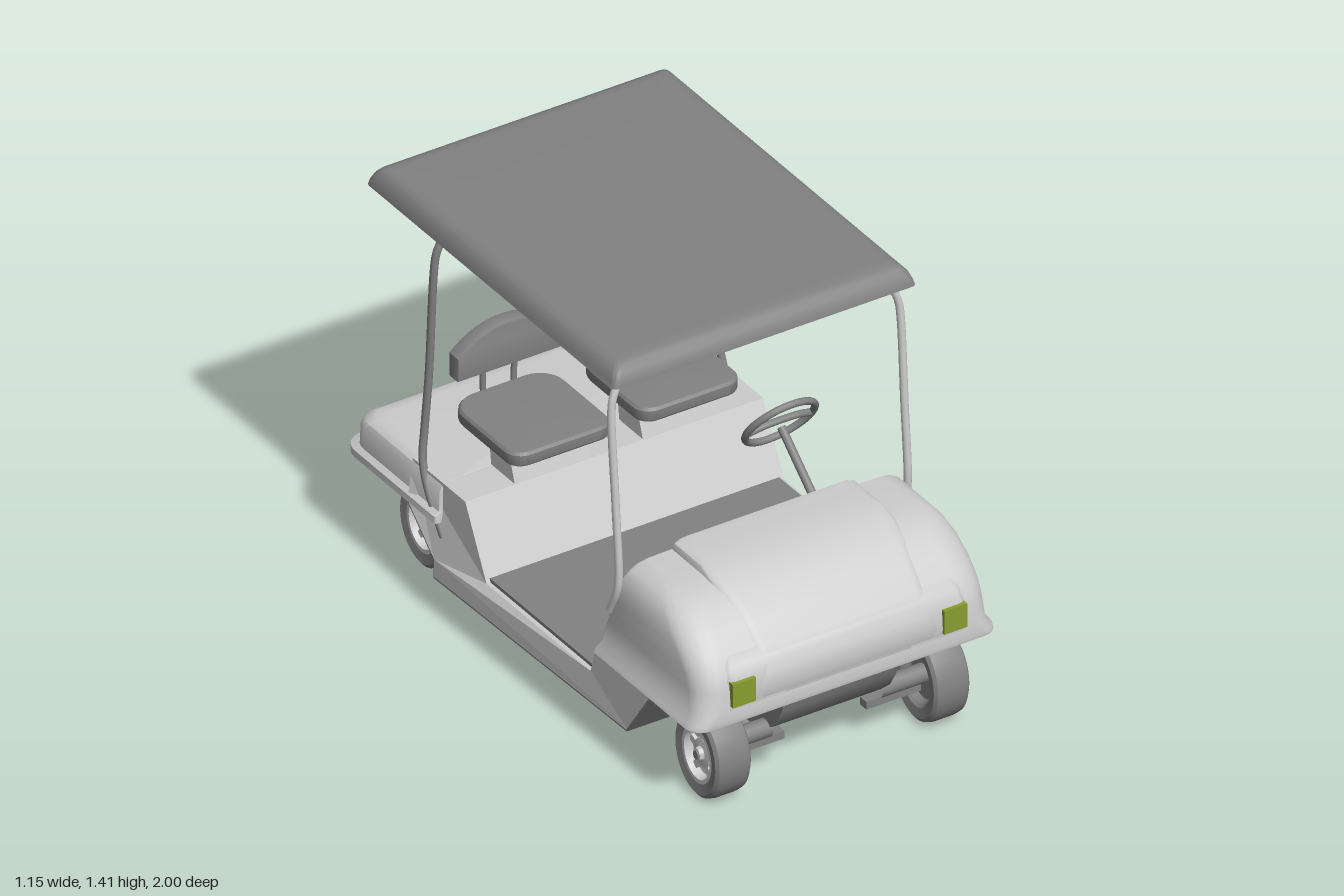
import * as THREE from 'three';
import { toCreasedNormals } from 'three/addons/utils/BufferGeometryUtils.js';

const light = new THREE.MeshStandardMaterial({ color: 0xdedede, side: THREE.DoubleSide });
const rimMat = new THREE.MeshStandardMaterial({ color: 0xcccccc, side: THREE.DoubleSide });
const dark = new THREE.MeshStandardMaterial({ color: 0x828282, side: THREE.DoubleSide });
const lampMat = new THREE.MeshStandardMaterial({ color: 0x8a9c30 });
const V = (x, y, z) => new THREE.Vector3(x, y, z);

function add(parent, name, geo, mat = light) {
  const m = new THREE.Mesh(geo, mat);
  m.name = name;
  parent.add(m);
  return m;
}

// Stack of rounded rectangles; ring = [y, halfWidth, zBack, zFront, rBack, rFront]
function loft(rings, crease = 0.6) {
  const seg = 6, n = 4 * (seg + 1), pos = [], idx = [];
  for (const [y, w, z0, z1, rb, rf] of rings) {
    for (let k = 0; k < 4; k++) {
      const r = k < 2 ? rf : rb;
      const cx = (k === 0 || k === 3 ? 1 : -1) * (w - r);
      const cz = k < 2 ? z1 - r : z0 + r;
      for (let i = 0; i <= seg; i++) {
        const a = (k + i / seg) * Math.PI / 2;
        pos.push(cx + r * Math.cos(a), y, cz + r * Math.sin(a));
      }
    }
  }
  const last = (rings.length - 1) * n, c = rings.length * n;
  for (const q of [rings[0], rings[rings.length - 1]]) pos.push(0, q[0], (q[2] + q[3]) / 2);
  for (let i = 0; i < n; i++) {
    const j = (i + 1) % n;
    for (let b = 0; b < last; b += n) idx.push(b + i, b + n + i, b + j, b + j, b + n + i, b + n + j);
    idx.push(c, i, j, c + 1, last + j, last + i);
  }
  const g = new THREE.BufferGeometry();
  g.setAttribute('position', new THREE.Float32BufferAttribute(pos, 3));
  g.setIndex(idx);
  return toCreasedNormals(g, crease);
}

// Side profile of [z, y] points, extruded across x and centred
function across(pts, width) {
  const shape = new THREE.Shape(pts.map(p => new THREE.Vector2(p[0], p[1])));
  const g = new THREE.ExtrudeGeometry(shape, { depth: width, bevelEnabled: false });
  return g.translate(0, 0, -width / 2).rotateY(-Math.PI / 2);
}

// Flare the rear arch edges out to the deck's width
function flareRear(g) {
  const p = g.attributes.position;
  for (let i = 0; i < p.count; i++)
    if (p.getZ(i) < -0.4 && p.getY(i) < 0.34) p.setX(i, Math.sign(p.getX(i)) * 0.575);
  g.computeVertexNormals();
  return g;
}

function tube(pts, r, seg = 60) {
  return new THREE.TubeGeometry(new THREE.CatmullRomCurve3(pts, false, 'centripetal'), seg, r, 10);
}

function rod(a, b, r) {
  return new THREE.TubeGeometry(new THREE.LineCurve3(a, b), 1, r, 14);
}

// Hoop from one side's points, [x, y, z] bottom to top, mirrored over x
function hoop(half, r = 0.013) {
  return tube([...half.map(p => V(...p)), ...half.slice().reverse().map(p => V(-p[0], p[1], p[2]))], r, 120);
}

function makeWheel() {
  const g = new THREE.Group();
  const lathe = pts => toCreasedNormals(new THREE.LatheGeometry(
    pts.map(p => new THREE.Vector2(p[0], p[1])), 36).rotateZ(-Math.PI / 2), 0.6);
  add(g, 'tyre', lathe([[0.09, -0.05], [0.1, -0.06], [0.135, -0.065], [0.148, -0.056], [0.153, -0.035],
    [0.153, 0.035], [0.148, 0.056], [0.135, 0.065], [0.1, 0.06], [0.09, 0.05]]), dark);
  add(g, 'rimBack', lathe([[0.095, -0.052], [0.08, -0.03], [0.0, -0.03]]), dark);
  add(g, 'rimFace', lathe([[0.1, 0.06], [0.086, 0.06], [0.08, 0.03], [0.055, 0.028], [0.05, 0.042],
    [0.025, 0.045], [0.022, 0.06], [0, 0.062]]), rimMat);
  for (let i = 0; i < 5; i++) {
    const a = i * Math.PI * 0.4;
    const s = add(g, 'rimSpoke', new THREE.BoxGeometry(0.015, 0.04, 0.025), rimMat);
    s.position.set(0.034, 0.065 * Math.cos(a), 0.065 * Math.sin(a));
    s.rotation.x = a;
  }
  add(g, 'hubCap', new THREE.CylinderGeometry(0.016, 0.016, 0.006, 16).rotateZ(Math.PI / 2), dark).position.x = 0.062;
  g.scale.z = 0.84;
  return g;
}

function makeSeat() {
  const g = new THREE.Group();
  add(g, 'cushion', loft([[0.573, 0.182, -0.65, -0.275, 0.08, 0.05], [0.58, 0.187, -0.655, -0.27, 0.09, 0.06],
    [0.612, 0.187, -0.655, -0.27, 0.09, 0.06], [0.621, 0.18, -0.648, -0.277, 0.085, 0.055],
    [0.622, 0.165, -0.635, -0.29, 0.08, 0.05]]), dark);
  add(g, 'pedestal', across([[-0.34, 0.46], [-0.365, 0.535], [-0.485, 0.535], [-0.475, 0.46]], 0.28));
  add(g, 'seatPost', new THREE.BoxGeometry(0.1, 0.05, 0.05), dark).position.set(0, 0.555, -0.43);
  // Backrest with an arched top
  const s = new THREE.Shape();
  s.moveTo(-0.182, 0.73);
  s.lineTo(0.182, 0.73);
  s.lineTo(0.182, 0.805);
  s.quadraticCurveTo(0.1, 0.88, 0, 0.88);
  s.quadraticCurveTo(-0.1, 0.88, -0.182, 0.805);
  s.closePath();
  const back = new THREE.ExtrudeGeometry(s, { depth: 0.042, bevelSize: 0.006, bevelThickness: 0.006, bevelSegments: 2, curveSegments: 16 });
  add(g, 'backrest', toCreasedNormals(back.translate(0, 0, -0.636), 0.6), dark);
  add(g, 'backrestSupport', hoop([[0.055, 0.575, -0.5], [0.055, 0.575, -0.63], [0.055, 0.59, -0.648],
    [0.055, 0.77, -0.648], [0.04, 0.8, -0.648], [0.015, 0.815, -0.648]], 0.01), dark);
  return g;
}

export function createModel() {
  const car = new THREE.Group();
  car.name = 'golfCart';

  // Roof: shallow hollow tray
  add(car, 'roof', loft([[1.385, 0.5, -0.84, 0.47, 0.02, 0.02], [1.345, 0.535, -0.87, 0.5, 0.02, 0.02],
    [1.343, 0.555, -0.89, 0.52, 0.02, 0.02], [1.36, 0.55, -0.887, 0.517, 0.02, 0.02], [1.385, 0.54, -0.875, 0.505, 0.02, 0.02],
    [1.402, 0.525, -0.86, 0.49, 0.02, 0.02], [1.41, 0.505, -0.84, 0.47, 0.02, 0.02], [1.411, 0.48, -0.815, 0.445, 0.02, 0.02]]), dark);

  // Roof hoops
  add(car, 'frontHoop', hoop([[0.53, 0.5, 0.455], [0.53, 0.59, 0.497], [0.529, 0.65, 0.505], [0.529, 0.9, 0.487],
    [0.529, 1.22, 0.463], [0.522, 1.27, 0.46], [0.5, 1.315, 0.457], [0.46, 1.343, 0.455], [0.4, 1.348, 0.455]]));
  add(car, 'rearHoop', hoop([[0.55, 0.28, -0.455], [0.55, 0.42, -0.55], [0.546, 0.5, -0.58], [0.535, 0.6, -0.587], [0.529, 0.8, -0.572],
    [0.529, 1.22, -0.54], [0.522, 1.27, -0.537], [0.5, 1.315, -0.533], [0.46, 1.343, -0.53], [0.4, 1.348, -0.53]]), dark);

  // Lower tub: sills, floor step and seat base
  add(car, 'tub', flareRear(across([[0.58, 0.135], [0.72, 0.335], [0.4, 0.335], [0.37, 0.235], [-0.22, 0.235],
    [-0.34, 0.47], [-0.64, 0.47], [-0.62, 0.335], [-0.47, 0.2], [-0.47, 0.135]], 1.09)));
  // Thin pan under the tub, turning up into the wheel arches
  add(car, 'underPan', flareRear(across([[0.58, 0.136], [0.72, 0.335], [0.73, 0.335], [0.583, 0.13], [-0.475, 0.13],
    [-0.475, 0.198], [-0.628, 0.335], [-0.62, 0.335], [-0.47, 0.2], [-0.47, 0.136]], 1.1)), dark);
  add(car, 'floorMat', new THREE.BoxGeometry(1.06, 0.015, 0.6), dark).position.set(0, 0.24, 0.075);
  add(car, 'belly', toCreasedNormals(across([[0.95, 0.332], [0.935, 0.27], [0.9, 0.21], [0.85, 0.165], [0.78, 0.14], [-0.78, 0.14],
    [-0.84, 0.165], [-0.885, 0.21], [-0.91, 0.27], [-0.92, 0.332], [-0.6, 0.332], [-0.45, 0.2], [0.55, 0.2], [0.68, 0.332]], 0.42), 0.6), dark);

  // Rear deck with lower lip
  add(car, 'rearDeck', loft([[0.33, 0.575, -1, -0.465, 0.08, 0.01], [0.355, 0.575, -1, -0.465, 0.08, 0.01],
    [0.368, 0.558, -0.968, -0.465, 0.07, 0.01], [0.435, 0.556, -0.966, -0.465, 0.07, 0.01], [0.458, 0.546, -0.955, -0.465, 0.07, 0.01],
    [0.47, 0.52, -0.93, -0.465, 0.06, 0.01], [0.471, 0.49, -0.9, -0.465, 0.05, 0.01]], 0.7));
  add(car, 'rearUnderside', loft([[0.327, 0.56, -0.985, -0.62, 0.075, 0.01], [0.331, 0.56, -0.985, -0.62, 0.075, 0.01]]), dark);

  // Front cowl: [y, half width, front z, corner radius]
  const cowl = [[0.33, 0.56, 0.985, 0.06], [0.345, 0.555, 0.988, 0.06], [0.375, 0.535, 0.985, 0.07], [0.45, 0.53, 0.98, 0.08],
    [0.5, 0.53, 0.965, 0.09], [0.55, 0.528, 0.93, 0.1], [0.6, 0.522, 0.88, 0.11], [0.635, 0.51, 0.835, 0.11],
    [0.66, 0.49, 0.79, 0.1], [0.675, 0.465, 0.745, 0.09], [0.682, 0.43, 0.69, 0.08], [0.683, 0.38, 0.64, 0.05]];
  add(car, 'frontCowl', loft(cowl.map(([y, w, z, r]) => [y, w, 0.4 + (y - 0.33) * 0.31, z, 0.01, r]), 0.8));
  add(car, 'frontUnderside', loft([[0.327, 0.545, 0.72, 0.97, 0.01, 0.05], [0.331, 0.545, 0.72, 0.97, 0.01, 0.05]]), dark);

  // Raised bonnet, and the wider nose holding the lamps
  const raised = rings => loft(rings.map(([y, w, z, r]) => [y, w, 0.44 + (y - 0.37) * 0.2, z, 0.01, r]), 0.8);
  add(car, 'bonnet', raised([[0.37, 0.34, 0.98, 0.03], [0.42, 0.34, 0.997, 0.04], [0.48, 0.33, 0.988, 0.05], [0.54, 0.325, 0.95, 0.05],
    [0.6, 0.328, 0.89, 0.05], [0.65, 0.335, 0.825, 0.05], [0.685, 0.337, 0.76, 0.05], [0.703, 0.33, 0.7, 0.04],
    [0.711, 0.31, 0.63, 0.03], [0.712, 0.28, 0.58, 0.03]]));
  add(car, 'nose', raised([[0.38, 0.44, 0.985, 0.03], [0.41, 0.442, 0.99, 0.03], [0.48, 0.438, 0.985, 0.03],
    [0.52, 0.432, 0.965, 0.03], [0.545, 0.42, 0.938, 0.03]]));

  // Firewall, lying along the sloping rear of the cowl
  const wall = new THREE.Group();
  wall.name = 'firewall';
  wall.position.set(0, 0.44, 0.432);
  wall.rotation.x = 0.3;
  car.add(wall);
  add(wall, 'firewallPanel', new THREE.BoxGeometry(0.98, 0.4, 0.01), dark);
  const plate = new THREE.Shape([[-0.07, -0.09], [0.07, -0.09], [0.07, 0.09], [-0.07, 0.09]].map(q => new THREE.Vector2(...q)));
  const hole = new THREE.Path();
  hole.moveTo(-0.045, -0.06);
  hole.lineTo(0.045, -0.06);
  hole.absarc(0, 0, 0.045, 0, Math.PI, false);
  plate.holes.push(hole);
  const plateGeo = new THREE.ExtrudeGeometry(plate, { depth: 0.01, bevelEnabled: false });

  const wheelZ = [['front', 0.84], ['rear', -0.72]];
  for (const s of [1, -1]) {
    const side = s > 0 ? 'Left' : 'Right';
    add(wall, 'pocket' + side, plateGeo).position.set(s * 0.3, 0.07, -0.013);

    const lamp = add(car, 'headlight' + side, new THREE.BoxGeometry(0.085, 0.085, 0.03), lampMat);
    lamp.position.set(s * 0.387, 0.438, 0.983);
    add(car, 'lampSill' + side, new THREE.BoxGeometry(0.2, 0.006, 0.04)).position.set(s * 0.33, 0.385, 0.967);

    const seat = makeSeat();
    seat.name = 'seat' + side;
    seat.position.x = s > 0 ? 0.247 : -0.222;
    car.add(seat);

    for (const [end, z] of wheelZ) {
      const w = makeWheel();
      w.name = end + 'Wheel' + side;
      w.position.set(s * 0.4, 0.153, z);
      if (s < 0) w.rotation.y = Math.PI;
      car.add(w);
      add(car, end + 'Axle' + side, rod(V(s * 0.2, 0.165, z), V(s * 0.38, 0.165, z), 0.032), dark);
      add(car, end + 'Arm' + side, new THREE.BoxGeometry(0.2, 0.028, 0.035), dark).position.set(s * 0.25, 0.128, z);
    }
  }

  // Steering
  add(car, 'steeringColumn', rod(V(0.215, 0.61, 0.51), V(0.215, 0.81, 0.275), 0.014), dark);
  const wheel = new THREE.Group();
  wheel.name = 'steeringWheel';
  wheel.position.set(0.218, 0.822, 0.263);
  wheel.rotation.x = 0.594;
  car.add(wheel);
  add(wheel, 'steeringRim', new THREE.TorusGeometry(0.121, 0.012, 12, 48), dark);
  add(wheel, 'crossSpoke', tube([V(-0.118, -0.01, 0), V(-0.06, 0.012, 0), V(0.06, 0.012, 0), V(0.118, -0.01, 0)], 0.012, 24), dark);

  // Pedals
  for (const x of [0.13, 0.29]) {
    const pedal = add(car, 'pedal', new THREE.BoxGeometry(0.07, 0.13, 0.012), dark);
    pedal.position.set(x, 0.32, 0.345);
    pedal.rotation.x = 0.45;
    add(car, 'pedalArm', rod(V(x, 0.245, 0.3), V(x, 0.33, 0.41), 0.009), dark);
  }
  return car;
}
